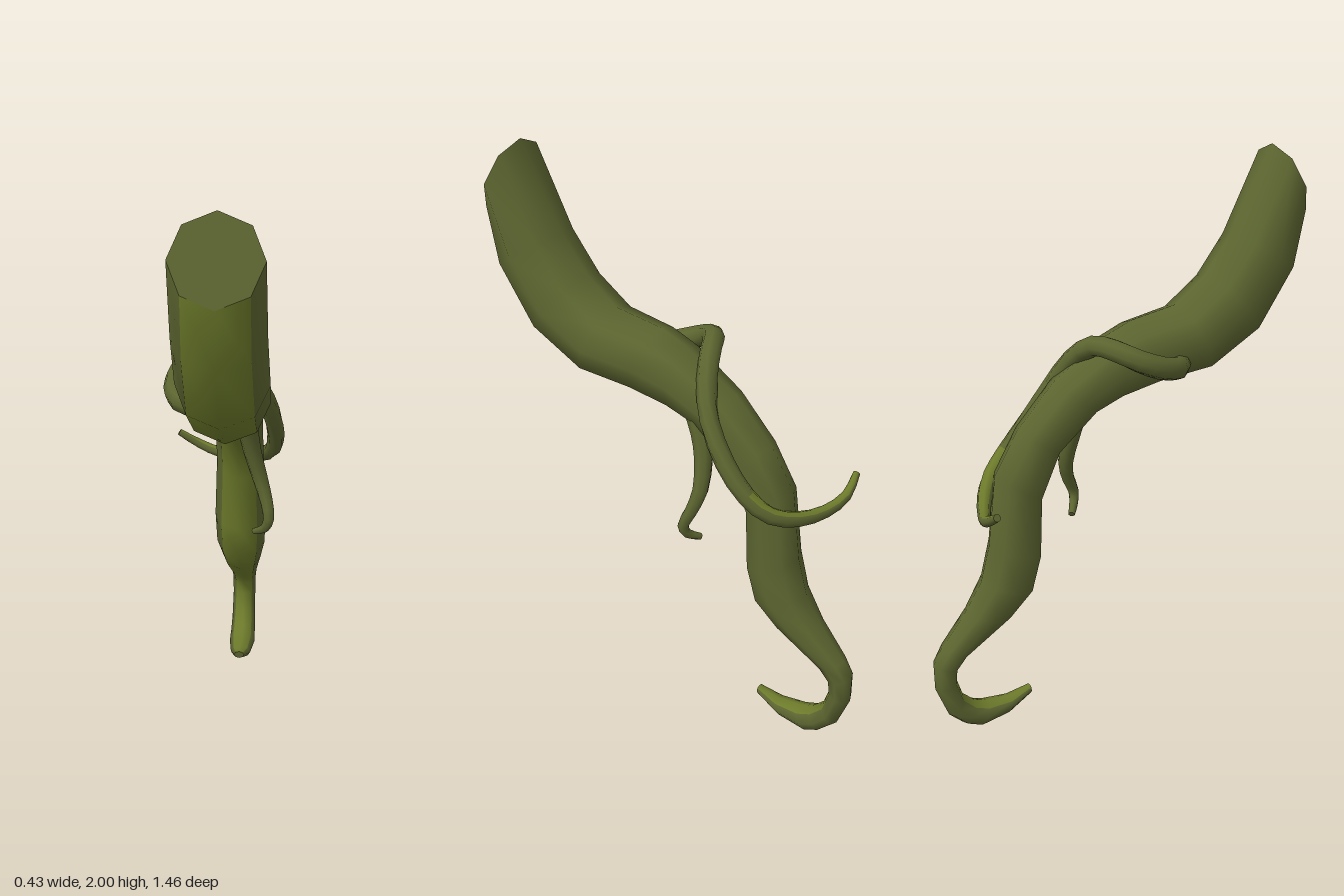
import * as THREE from 'three';

const SIDES = 8;
const bark = new THREE.MeshStandardMaterial({ color: 0x5c6530 });
bark.name = 'olive skin';
const pale = new THREE.MeshStandardMaterial({ color: 0x6d7b2b });
pale.name = 'pale green underside';

// Skin a list of rings {c, up, side}; isPale(ring, segment) picks the lighter colour.
function sweep(name, rings, isPale) {
  const pos = [], dark = [], light = [];
  const point = (r, j) => {
    const a = (j / SIDES) * Math.PI * 2;
    return r.c.clone().addScaledVector(r.up, Math.cos(a)).addScaledVector(r.side, Math.sin(a));
  };
  const addRing = r => {
    for (let j = 0; j < SIDES; j++) pos.push(...point(r, j).toArray());
  };
  rings.forEach(addRing);
  for (let i = 0; i < rings.length - 1; i++) {
    for (let j = 0; j < SIDES; j++) {
      const k = (j + 1) % SIDES, a = i * SIDES, b = a + SIDES;
      (isPale(i, j) ? light : dark).push(a + j, a + k, b + j, a + k, b + k, b + j);
    }
  }
  // flat end caps with their own vertices
  [rings[0], rings[rings.length - 1]].forEach((r, end) => {
    const base = pos.length / 3;
    addRing(r);
    pos.push(...r.c.toArray());
    for (let j = 0; j < SIDES; j++) {
      const k = (j + 1) % SIDES;
      dark.push(base + SIDES, base + (end ? j : k), base + (end ? k : j));
    }
  });
  const geo = new THREE.BufferGeometry();
  geo.setAttribute('position', new THREE.Float32BufferAttribute(pos, 3));
  geo.setIndex([...dark, ...light]);
  geo.addGroup(0, dark.length, 0);
  geo.addGroup(dark.length, light.length, 1);
  geo.computeVertexNormals();
  const mesh = new THREE.Mesh(geo, [bark, pale]);
  mesh.name = name;
  return mesh;
}

// Tapered tendril along a smooth path; each point is [x, y, z, radius].
function tendril(name, pts, ref, steps, isPale) {
  const curve = new THREE.CatmullRomCurve3(pts.map(p => new THREE.Vector3(p[0], p[1], p[2])));
  const rings = [];
  for (let i = 0; i <= steps; i++) {
    const t = i / steps, f = t * (pts.length - 1);
    const n = Math.min(Math.floor(f), pts.length - 2);
    const radius = THREE.MathUtils.lerp(pts[n][3], pts[n + 1][3], f - n);
    const tan = curve.getTangent(t);
    const up = ref.clone().addScaledVector(tan, -ref.dot(tan)).normalize();
    const side = tan.clone().cross(up);
    rings.push({ c: curve.getPoint(t), up: up.multiplyScalar(radius), side: side.multiplyScalar(radius) });
  }
  return sweep(name, rings, isPale);
}

export function createModel() {
  const group = new THREE.Group();
  group.name = 'twisted root';

  // main root sections: inner z, inner y, outer z, outer y, half width
  const sections = [
    [0.73, 1.74, 0.63, 2.0, 0.14],
    [0.71, 1.56, 0.47, 1.70, 0.143],
    [0.565, 1.345, 0.37, 1.57, 0.147],
    [0.36, 1.23, 0.25, 1.48, 0.142],
    [0.15, 1.21, 0.07, 1.45, 0.128],
    [0.0, 1.18, -0.03, 1.41, 0.115],
    [-0.08, 1.15, -0.23, 1.28, 0.098],
    [-0.22, 1.03, -0.37, 1.13, 0.088],
    [-0.29, 0.87, -0.46, 0.98, 0.09],
    [-0.30, 0.66, -0.493, 0.72, 0.098],
    [-0.335, 0.53, -0.53, 0.585, 0.094],
    [-0.42, 0.44, -0.60, 0.475, 0.075],
    [-0.60, 0.32, -0.69, 0.365, 0.053],
    [-0.637, 0.275, -0.725, 0.305, 0.047],
    [-0.645, 0.225, -0.725, 0.205, 0.046],
    [-0.625, 0.155, -0.68, 0.08, 0.048],
    [-0.58, 0.11, -0.63, 0.03, 0.05],
    [-0.53, 0.09, -0.575, 0.005, 0.052],
    [-0.44, 0.08, -0.46, 0.02, 0.04],
    [-0.358, 0.1, -0.36, 0.07, 0.02],
  ];
  const rings = sections.map(([z0, y0, z1, y1, w]) => ({
    c: new THREE.Vector3(0.047, (y0 + y1) / 2, (z0 + z1) / 2),
    up: new THREE.Vector3(0, (y1 - y0) / 2, (z1 - z0) / 2),
    side: new THREE.Vector3(w, 0, 0),
  }));
  group.add(sweep('mainRoot', rings, (i, j) => j === 3 || j === 4));

  // long tendril winding over the root
  group.add(tendril('windingTendril', [
    [-0.04, 1.30, 0.22, 0.036],
    [-0.115, 1.31, 0.16, 0.04],
    [-0.145, 1.335, 0.08, 0.04],
    [-0.135, 1.37, 0.0, 0.039],
    [-0.08, 1.40, -0.06, 0.038],
    [0.0, 1.40, -0.10, 0.036],
    [0.09, 1.33, -0.14, 0.035],
    [0.15, 1.22, -0.19, 0.034],
    [0.18, 1.10, -0.27, 0.033],
    [0.18, 1.0, -0.355, 0.032],
    [0.15, 0.935, -0.43, 0.03],
    [0.07, 0.90, -0.49, 0.027],
    [-0.04, 0.89, -0.54, 0.022],
    [-0.13, 0.915, -0.57, 0.019],
    [-0.21, 0.963, -0.565, 0.013],
  ], new THREE.Vector3(0, 1, 0), 28, (i, j) => i > 17 && (j === 0 || j === 7)));

  // short tendril hanging below
  group.add(tendril('hangingTendril', [
    [0.08, 1.22, -0.08, 0.038],
    [0.09, 1.13, -0.12, 0.037],
    [0.105, 1.04, -0.14, 0.033],
    [0.135, 0.93, -0.147, 0.028],
    [0.16, 0.85, -0.125, 0.023],
    [0.17, 0.79, -0.10, 0.02],
    [0.155, 0.75, -0.107, 0.017],
    [0.115, 0.725, -0.137, 0.012],
  ], new THREE.Vector3(0, 0, 1), 14, () => false));

  return group;
}
